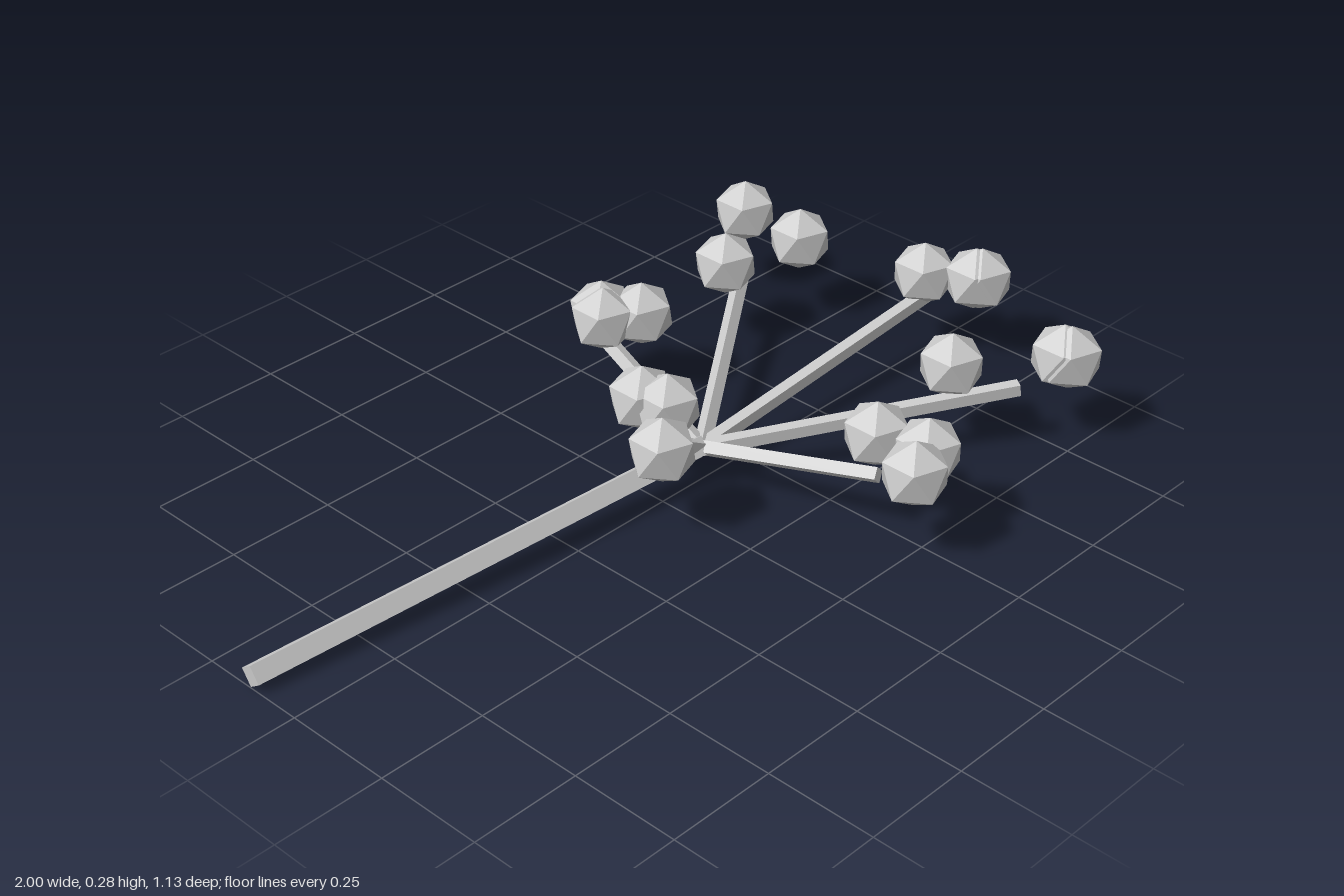
import * as THREE from 'three';

export function createModel() {
  const model = new THREE.Group();
  model.name = 'berrySprig';
  const grey = new THREE.MeshStandardMaterial({ color: 0xcccccc, flatShading: true });
  grey.name = 'pale grey';

  // Square rod between two points, rolled about its own axis
  function rod(name, from, to, side, roll) {
    const a = new THREE.Vector3(...from), b = new THREE.Vector3(...to);
    const dir = b.clone().sub(a);
    const geo = new THREE.BoxGeometry(side, side, dir.length());
    geo.rotateZ(roll);
    const z = dir.normalize();
    const x = new THREE.Vector3(0, 1, 0).cross(z).normalize();
    const y = z.clone().cross(x);
    const mesh = new THREE.Mesh(geo, grey);
    mesh.name = name;
    mesh.quaternion.setFromRotationMatrix(new THREE.Matrix4().makeBasis(x, y, z));
    mesh.position.copy(a).add(b).multiplyScalar(0.5);
    model.add(mesh);
  }

  // Main stem, standing nearly on its edge
  rod('stem', [-1, 0.034, -0.128], [0.12, 0.087, -0.005], 0.041, -0.63);

  // Branches fanning out from the stem tip: end x, end z, roll
  const hub = [0.12, 0.085, 0];
  const branches = [
    [0.88, 0, 0],
    [0.69, -0.4, Math.PI / 4],
    [0.69, 0.4, 0],
    [0.22, -0.39, 0.5],
    [0.22, 0.4, Math.PI / 4],
    [0, -0.005, 0],
  ];
  branches.forEach(([x, z, roll], i) =>
    rod(`branch${i + 1}`, hub, [x, 0.152, z], 0.027, roll));

  // Faceted berries with one corner pointing up, three per branch
  const berryGeo = new THREE.IcosahedronGeometry(0.0775, 0);
  berryGeo.rotateZ(-Math.atan(2 / (1 + Math.sqrt(5))));
  const berries = [
    [0.86, -0.005], [0.92, 0.095], [0.928, 0.105],
    [0.8, -0.5], [0.785, -0.315], [0.58, -0.36],
    [0.59, 0.29], [0.785, 0.44], [0.79, 0.455],
    [0.23, -0.41], [0.21, -0.385], [0.285, -0.34],
    [0.27, 0.35], [0.21, 0.5], [0.295, 0.465],
    [0.035, -0.095], [0.05, -0.035], [-0.08, 0.075],
  ];
  berries.forEach(([x, z], i) => {
    const berry = new THREE.Mesh(berryGeo, grey);
    berry.name = `berry${i + 1}`;
    berry.position.set(x, 0.208, z);
    model.add(berry);
  });

  return model;
}
